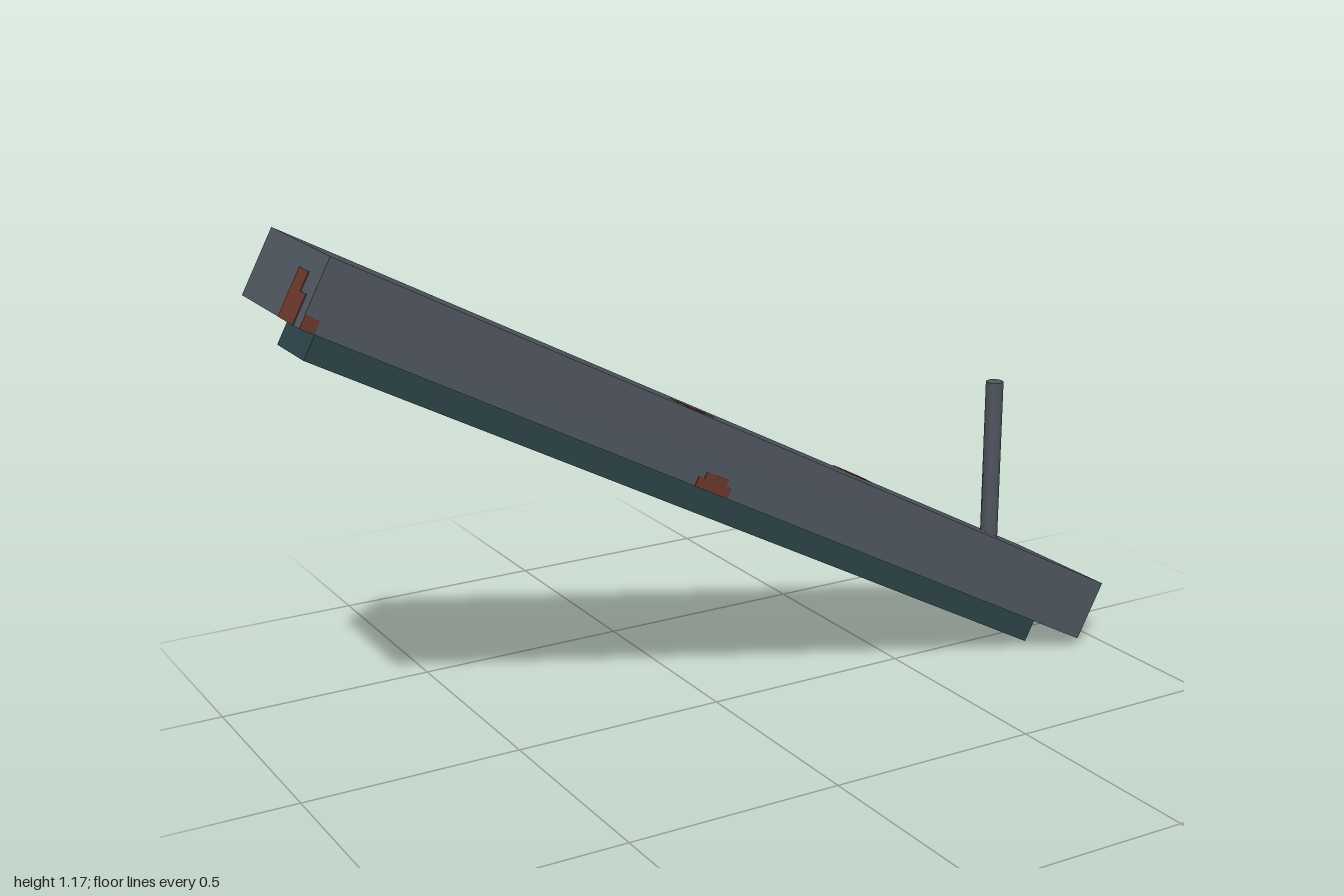
import * as THREE from 'three';

export function createModel() {
  const model = new THREE.Group();
  model.name = 'slopedBeam';

  const makeMaterial = (name, color) => {
    const m = new THREE.MeshStandardMaterial({ color });
    m.name = name;
    return m;
  };
  const steel = makeMaterial('grey steel', 0x4f565f);
  const teal = makeMaterial('dark teal', 0x2b4448);
  const rust = makeMaterial('rust', 0x6a362b);

  const L = 2.185, H = 0.147, W = 0.32; // beam length, height, width
  const T = 0.004;                      // rust plate thickness

  // Tilted frame: x runs down the slope, y is the beam's own up
  const slope = new THREE.Group();
  slope.name = 'slope';
  slope.position.y = 0.597;
  slope.rotation.z = -0.488;
  model.add(slope);

  // Box given by its extents in the tilted frame
  const box = (name, material, x0, x1, y0, y1, z0, z1) => {
    const mesh = new THREE.Mesh(new THREE.BoxGeometry(x1 - x0, y1 - y0, z1 - z0), material);
    mesh.name = name;
    mesh.position.set((x0 + x1) / 2, (y0 + y1) / 2, (z0 + z1) / 2);
    slope.add(mesh);
  };

  box('beam', steel, -L / 2, L / 2, -H / 2, H / 2, -W / 2, W / 2);
  box('underRail', teal, -1.02, 1.02, -0.133, -H / 2, -0.073, 0.073);

  // Rust on the top and underside: [x0, x1, z0, z1]
  const flat = (y, list) => list.forEach(([x0, x1, z0, z1]) =>
    box('rustPatch', rust, x0, x1, y - T / 2, y + T / 2, z0, z1));
  flat(H / 2, [
    [-0.205, -0.107, 0.05, 0.09], [-0.205, -0.16, 0.09, 0.13],
    [0.44, 0.51, -0.16, -0.135], [0.415, 0.51, -0.135, -0.095], [0.415, 0.46, -0.095, -0.055],
  ]);
  flat(-H / 2, [[0.55, 0.63, -0.16, -0.1]]);

  // Rust on the front and back: [x0, x1, y0, y1]
  const side = (z, list) => list.forEach(([x0, x1, y0, y1]) =>
    box('rustPatch', rust, x0, x1, y0, y1, z - T / 2, z + T / 2));
  side(W / 2, [
    [-0.13, -0.04, -H / 2, -0.05], [-0.115, -0.055, -0.05, -0.035],
    [-L / 2, -1.06, -H / 2, -0.045],
  ]);
  side(-W / 2, [
    [-0.8, -0.71, 0.0, H / 2], [-0.785, -0.725, -0.02, 0.0],
    [-0.12, -0.04, -H / 2, -0.045], [-0.105, -0.06, -0.045, -0.03],
    [1.06, L / 2, 0.03, H / 2],
  ]);

  // Rust on the raised end
  const end = -L / 2;
  box('rustPatch', rust, end - T / 2, end + T / 2, -H / 2, -0.01, 0.05, 0.13);
  box('rustPatch', rust, end - T / 2, end + T / 2, -0.01, 0.03, 0.05, 0.1);

  // Upright post near the low end
  const post = new THREE.Mesh(new THREE.CylinderGeometry(0.021, 0.021, 0.435, 8), steel);
  post.name = 'post';
  post.position.set(0.77, 0.4375, 0);
  model.add(post);

  return model;
}
